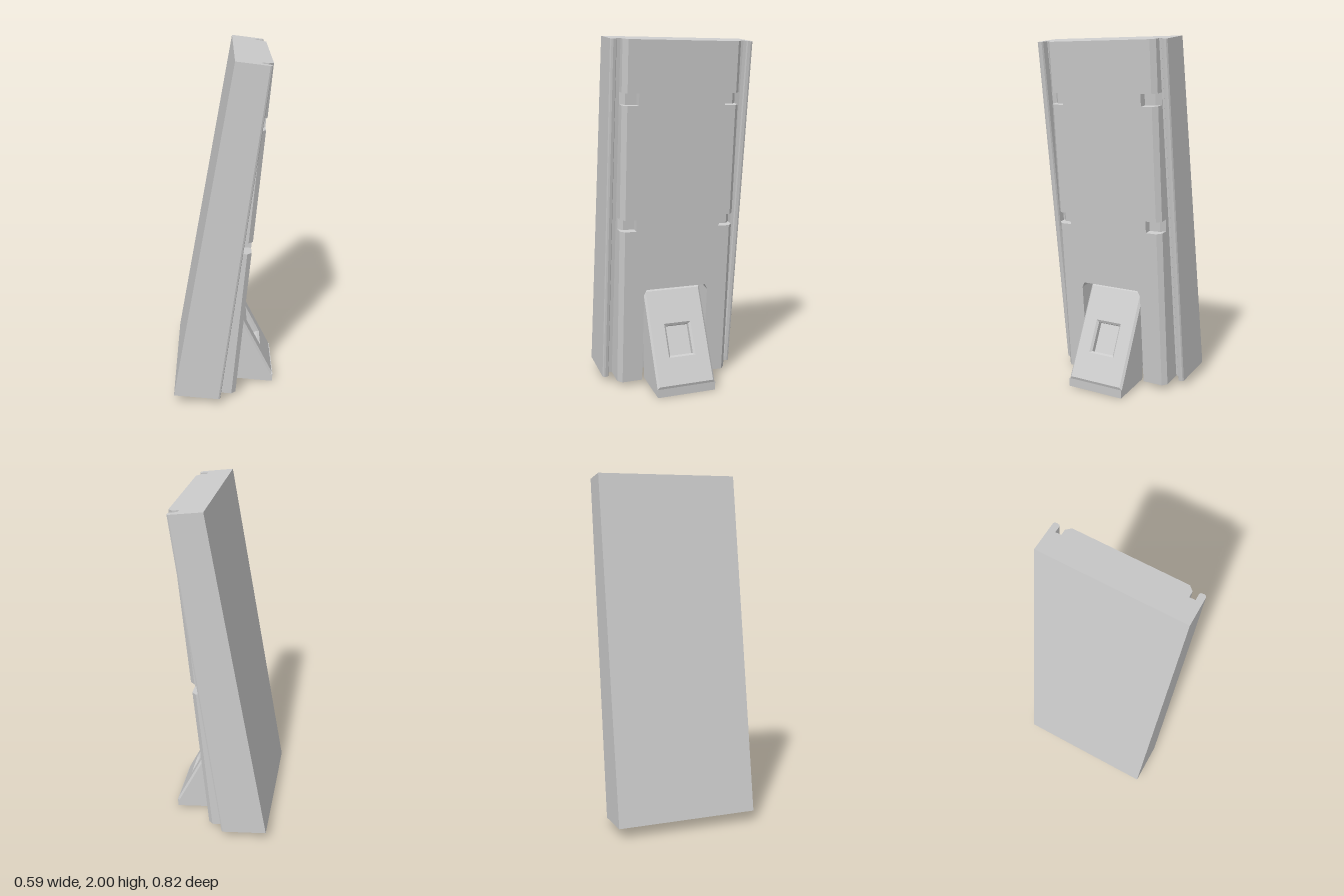
import * as THREE from 'three';

const mix = THREE.MathUtils.lerp;
const material = new THREE.MeshStandardMaterial({ color: 0xcccccc, flatShading: true });

// Cross-section of the leaning body at height t (0 bottom, 1 top).
// notch: depth of the clip cut-outs, pocketWidth: half width, pocket: whether it is open
function section(t, notch, pocketWidth, pocket) {
  const front = [0.06, 0.24], rail = [-0.03, 0.23], floor = [-0.08, 0.18], back = [-0.3, 0.045];
  const deep = pocket ? [-0.08, 0.2] : front;
  const half = [
    [back, 0, 0.408],
    // side rail with a rounded front edge
    [rail, -0.012, 0.408], [rail, -0.003, 0.403], [rail, 0, 0.393],
    [rail, -0.003, 0.377], [rail, -0.012, 0.372],
    // groove
    [floor, 0, 0.372], [floor, 0, 0.34],
    // chamfered panel edge and clip notch
    [front, -0.025 - notch, 0.34], [front, -notch, 0.315], [front, -notch, 0.25], [front, 0, 0.25],
    // leg pocket
    [front, 0, pocketWidth], [deep, 0, pocketWidth],
  ];
  const place = ([range, dx, z], side) => {
    const x0 = range[0] + dx, x1 = range[1] + dx;
    const y0 = 0.065 - 0.111 * (x0 + 0.3), y1 = 2 - 0.128 * (x1 - 0.045);
    return new THREE.Vector3(mix(x0, x1, t), mix(y0, y1, t), z * side);
  };
  return [...half.map(p => place(p, 1)), ...half.reverse().map(p => place(p, -1))];
}

// Skin a list of equal-length closed loops, with end caps
function loft(loops) {
  const pos = [];
  const tri = (a, b, c) => {
    if (new THREE.Triangle(a, b, c).getArea() > 1e-8) for (const p of [a, b, c]) pos.push(p.x, p.y, p.z);
  };
  for (let k = 0; k + 1 < loops.length; k++) {
    const lo = loops[k], hi = loops[k + 1];
    lo.forEach((a, i) => {
      const j = (i + 1) % lo.length;
      tri(a, lo[j], hi[j]);
      tri(a, hi[j], hi[i]);
    });
  }
  const cap = (loop, flip) => {
    const flat = loop.map(p => new THREE.Vector2(p.x, -p.z));
    for (const [a, b, c] of THREE.ShapeUtils.triangulateShape(flat, [])) {
      if (flip) tri(loop[a], loop[c], loop[b]);
      else tri(loop[a], loop[b], loop[c]);
    }
  };
  cap(loops[0], true);
  cap(loops[loops.length - 1], false);
  const geo = new THREE.BufferGeometry();
  geo.setAttribute('position', new THREE.Float32BufferAttribute(pos, 3));
  geo.computeVertexNormals();
  return geo;
}

function addMesh(group, name, geometry) {
  const mesh = new THREE.Mesh(geometry, material);
  mesh.name = name;
  group.add(mesh);
  return mesh;
}

export function createModel() {
  const model = new THREE.Group();
  model.name = 'leaningPanel';

  // Body: the pocket at the foot, then two levels of clip notches
  const loops = [
    section(0, 0, 0.195, true), section(0.272, 0, 0.195, true),
    section(0.287, 0, 0.18, true), section(0.287, 0, 0.18, false),
  ];
  for (const [t0, t1] of [[0.467, 0.501], [0.823, 0.857]]) {
    loops.push(section(t0, 0, 0.18, false), section(t0, 0.045, 0.18, false),
      section(t1, 0.045, 0.18, false), section(t1, 0, 0.18, false));
  }
  loops.push(section(1, 0, 0.18, false));
  addMesh(model, 'body', loft(loops));

  // Support leg: a wedge carrying a sloped plate with a window recess
  const leg = new THREE.Group();
  leg.name = 'supportLeg';
  model.add(leg);
  const width = 0.35, thick = 0.04, bevel = 0.012;
  const low = new THREE.Vector3(0.29, 0.05, 0), high = new THREE.Vector3(0.04, 0.565, 0);
  const length = low.distanceTo(high);
  const up = high.clone().sub(low).normalize();
  const out = new THREE.Vector3(up.y, -up.x, 0);
  const lowIn = low.clone().addScaledVector(out, -thick);
  const highIn = high.clone().addScaledVector(out, -thick);

  const profile = new THREE.Shape([[0.04, 0.027], [0.287, 0], [low.x, low.y],
    [lowIn.x, lowIn.y], [highIn.x, highIn.y]].map(p => new THREE.Vector2(...p)));
  const wedge = new THREE.ExtrudeGeometry(profile, { depth: width, bevelEnabled: false });
  addMesh(leg, 'legWedge', wedge.translate(0, 0, -width / 2));

  const rect = (Type, w, y0, y1) => new Type([[-w, y0], [w, y0], [w, y1], [-w, y1]]
    .map(p => new THREE.Vector2(...p)));
  const outline = rect(THREE.Shape, width / 2, 0, length);
  outline.holes.push(rect(THREE.Path, 0.07, 0.18, 0.352));
  const plate = new THREE.ExtrudeGeometry(outline, {
    depth: thick - bevel, bevelSize: bevel, bevelThickness: bevel, bevelOffset: -bevel, bevelSegments: 1,
  });
  plate.applyMatrix4(new THREE.Matrix4().makeBasis(new THREE.Vector3(0, 0, -1), up, out).setPosition(lowIn));
  addMesh(leg, 'legPlate', plate);

  return model;
}
